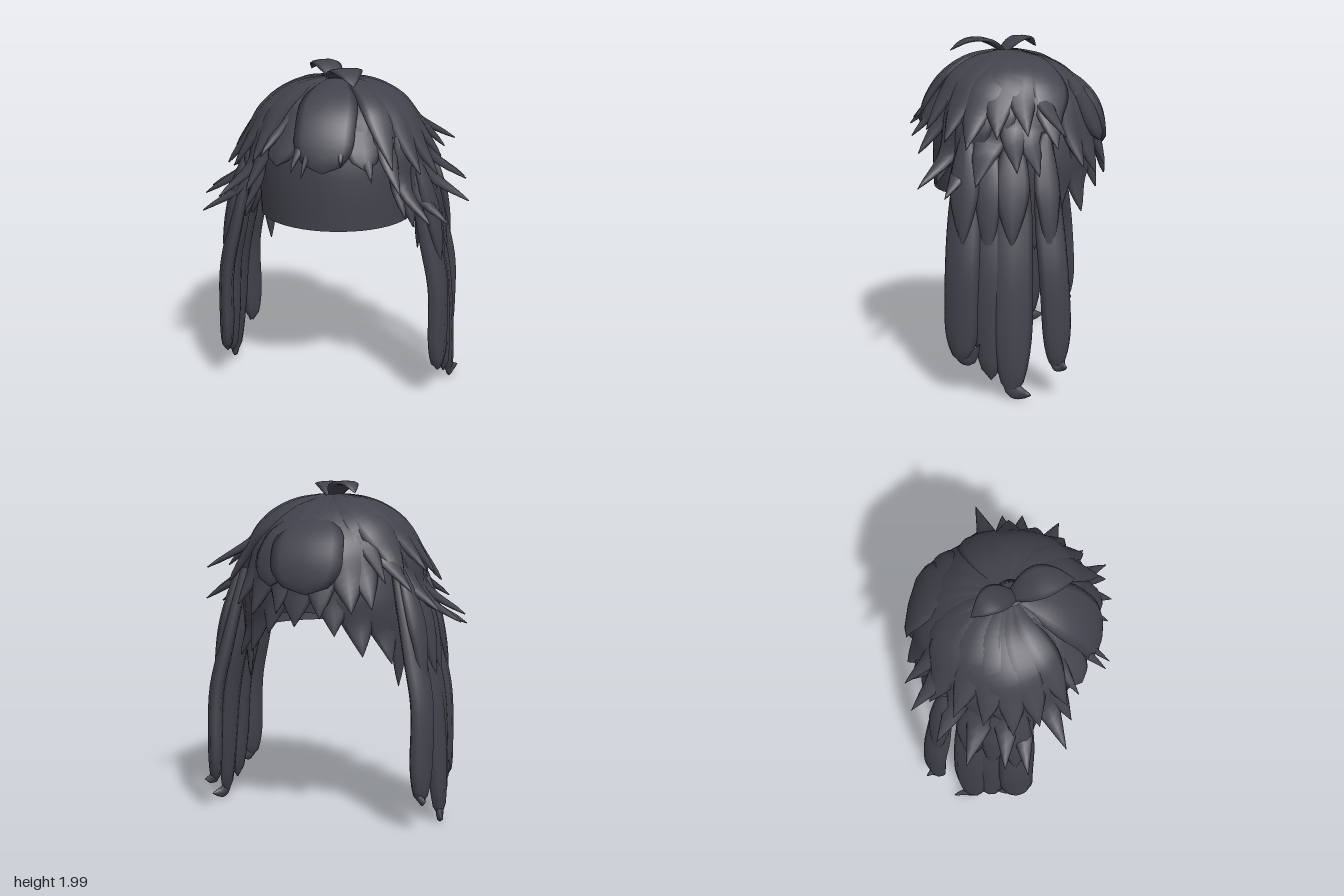
import * as THREE from 'three';

const hair = new THREE.MeshStandardMaterial({ color: 0x42424c, side: THREE.DoubleSide });
hair.name = 'charcoal hair';
const V = (x, y, z) => new THREE.Vector3(x, y, z);
const RAD = Math.PI / 180;

// Point on the head: azimuth 0 is the front, phi 0 the crown, below 90 it drops straight
function onHead(az, phi, lift = 0) {
  const a = az * RAD, p = Math.min(phi, 90) * RAD;
  const rz = Math.cos(a) > 0 ? 0.47 : 0.53;
  const y = phi > 90 ? 1.38 - (phi - 90) / 180 : 1.38 + (0.53 + lift * 0.4) * Math.cos(p);
  return V(Math.sin(a) * Math.sin(p) * (0.51 + lift), y, Math.cos(a) * Math.sin(p) * (rz + lift));
}

// Width along a lock: pointed like a blade, or blunt like a ribbon
const pointed = t => t < 0.5
  ? 0.35 + 0.65 * Math.sin(t * Math.PI)
  : 1 - Math.pow((t - 0.5) * 2, 1.6);
const blunt = t => (0.4 + 0.6 * Math.sin(Math.min(t / 0.5, 1) * Math.PI / 2))
  * (t < 0.75 ? 1 : Math.sqrt(Math.max(0, 1 - Math.pow((t - 0.75) * 4, 2))));

// Sweep a flat lens section along a path, its broad face turned away from the head
function lock(name, points, width, thick, profile = pointed, steps = 18) {
  const curve = new THREE.CatmullRomCurve3(points, false, 'centripetal');
  const pos = [], index = [], sides = 8;
  for (let i = 0; i <= steps; i++) {
    const t = i / steps, p = curve.getPoint(t), dir = curve.getTangent(t);
    const out = V(p.x, Math.max(p.y - 1.38, 0), p.z);
    const side = V(0, 0, 0).crossVectors(dir, out).normalize();
    const n = V(0, 0, 0).crossVectors(side, dir);
    const w = Math.max(profile(t), 0.01);
    for (let j = 0; j < sides; j++) {
      const a = j / sides * Math.PI * 2;
      const q = p.clone().addScaledVector(side, Math.cos(a) * w * width)
        .addScaledVector(n, Math.sin(a) * Math.sqrt(w) * thick);
      pos.push(q.x, q.y, q.z);
      if (i < steps) {
        const k = i * sides + j, m = i * sides + (j + 1) % sides;
        index.push(k, m, k + sides, m, m + sides, k + sides);
      }
    }
  }
  const g = new THREE.BufferGeometry();
  g.setAttribute('position', new THREE.Float32BufferAttribute(pos, 3));
  g.setIndex(index);
  g.computeVertexNormals();
  const mesh = new THREE.Mesh(g, hair);
  mesh.name = name;
  return mesh;
}

// Lock that runs from the crown over the head and ends at a given tip
function headLock(name, [x, y, z, width], lift, profile, start = 8) {
  const az = Math.atan2(x, z) / RAD;
  const rootY = y + 0.17;
  const phi = rootY > 1.38
    ? Math.acos(Math.min((rootY - 1.38) / 0.53, 1)) / RAD
    : Math.min(90 + (1.38 - rootY) * 180, 135);
  const sweep = 22 * Math.sin(az * RAD);
  const points = [0, 0.35, 0.7, 1].map(s =>
    onHead(az + sweep * (1 - s), start + (phi - start) * s, lift * (0.3 + 0.7 * Math.min(s * 1.6, 1))));
  points.push(V(x, y, z));
  return lock(name, points, width, 0.035, profile);
}

export function createModel() {
  const model = new THREE.Group();
  model.name = 'hair';

  // Scalp cap, open below, with the rim higher at the back
  const profile = [[0.455, 1.12], [0.46, 1.28], [0.46, 1.42], [0.44, 1.56], [0.385, 1.7],
    [0.29, 1.81], [0.16, 1.88], [0, 1.905]].map(p => new THREE.Vector2(...p));
  const capGeo = new THREE.LatheGeometry(profile, 48);
  const cp = capGeo.attributes.position;
  for (let i = 0; i < cp.count; i++) {
    const z = cp.getZ(i), y = cp.getY(i);
    cp.setZ(i, z * (z > 0 ? 0.95 : 1.06));
    if (y < 1.4 && z < 0) cp.setY(i, y + (1.42 - y) * 0.5 * Math.min(1, -z / 0.46));
  }
  capGeo.computeVertexNormals();
  const cap = new THREE.Mesh(capGeo, hair);
  cap.name = 'scalpCap';
  model.add(cap);

  // Fringe over the forehead
  const fringe = [[0.02, 1.48, 0.51, 0.17], [0.26, 1.5, 0.47, 0.12], [-0.25, 1.5, 0.47, 0.13]];
  fringe.forEach((f, i) => model.add(headLock('fringeLock', f, i ? 0.0 : 0.045, blunt)));
  [[-0.14, 1.5, 0.58, 0.07], [-0.08, 1.47, 0.59, 0.05], [0.3, 1.45, 0.52, 0.09], [0.13, 1.53, 0.53, 0.08],
    [-0.34, 1.55, 0.47, 0.09]].forEach(f => model.add(headLock('fringeTip', f, 0.01)));

  // Outer spikes: tip position and half width
  const spikes = [
    [0.62, 1.2, 0.44, 0.1], [0.7, 1.16, 0.28, 0.12], [0.8, 1.25, 0.1, 0.13], [0.76, 1.32, -0.12, 0.12],
    [0.74, 1.3, -0.24, 0.12], [0.66, 1.5, -0.38, 0.1], [0.45, 1.37, 0.46, 0.1],
    [-0.59, 1.3, 0.47, 0.11], [-0.75, 1.15, 0.29, 0.12], [-0.77, 1.22, 0.16, 0.12], [-0.8, 1.2, -0.06, 0.13],
    [-0.72, 1.28, -0.25, 0.12], [-0.61, 1.4, -0.42, 0.11], [-0.48, 1.45, -0.49, 0.09], [-0.43, 1.34, 0.46, 0.09]];
  spikes.forEach(s => model.add(headLock('outerSpike', s, 0.035)));

  // Shorter locks between the spikes
  for (const s of [-1, 1]) {
    for (const [x, y, z, w] of [[0.54, 1.45, 0.3, 0.12], [0.62, 1.42, 0.17, 0.12], [0.62, 1.48, 0.0, 0.13],
      [0.62, 1.5, -0.17, 0.13], [0.54, 1.42, -0.33, 0.13], [0.4, 1.5, 0.42, 0.11]]) {
      model.add(headLock('upperLock', [s * x, y, z, w], 0.05));
    }
  }

  // Under layer at the sides and nape
  for (const s of [-1, 1]) {
    for (const [x, y, z, w] of [[0.5, 1.12, 0.25, 0.1], [0.56, 1.05, 0.1, 0.13], [0.56, 1.02, -0.06, 0.13],
      [0.47, 0.83, -0.2, 0.14], [0.47, 0.98, -0.33, 0.13], [0.34, 1.03, -0.46, 0.13],
      [0.2, 1.15, -0.54, 0.14], [0.47, 1.2, 0.36, 0.07]]) {
      model.add(headLock('underLock', [s * x, y, z, w], 0));
    }
  }

  // Back of the head: broad locks and a rounded bulge over them
  [[0.02, 1.2, -0.59, 0.15], [0.13, 1.27, -0.59, 0.12], [-0.13, 1.25, -0.59, 0.13], [0.3, 1.25, -0.54, 0.14],
    [-0.3, 1.28, -0.54, 0.14], [0.42, 1.3, -0.47, 0.12], [-0.4, 1.3, -0.48, 0.12]]
    .forEach(b => model.add(headLock('backLock', b, 0.02)));
  model.add(headLock('backBulge', [-0.04, 1.38, -0.58, 0.21], 0.05, blunt, 38));
  model.add(headLock('backBulge', [0.18, 1.42, -0.56, 0.15], 0.04, blunt, 38));

  // Long hanging locks: top z, bottom z, bottom y, bottom x, half width
  const longLocks = [[0.18, 0.2, 0.21, 0.66, 0.105], [0.06, 0.03, 0.12, 0.68, 0.1],
    [-0.08, -0.09, 0.03, 0.7, 0.115], [-0.26, -0.34, 0.18, 0.65, 0.09]];
  for (const s of [-1, 1]) {
    longLocks.forEach(([z0, z1, y1, x1, w], i) => {
      const at = (x, t, y) => V(s * x, y, z0 + (z1 - z0) * t);
      model.add(lock('longLock', [at(0.47, 0, 1.5), at(0.53, 0.1, 1.28), at(0.59, 0.35, 1.02),
        at(0.645, 0.7, 0.75), at((0.65 + x1) / 2, 0.95, 0.42), at(x1, 1, y1)], w, 0.045, blunt, 24));
      // Curled tip
      if (i !== 1) {
        const d = i === 3 ? 0.5 : 1;
        model.add(lock('longLockTip', [V(s * x1, y1 + 0.14, z1 + 0.04), V(s * x1, y1 + 0.045, z1),
          V(s * (x1 + 0.01), y1 + 0.03, z1 - 0.05 * d), V(s * (x1 + 0.045), y1 + (i ? 0.03 : 0.13), z1 - 0.11 * d)],
        0.045, 0.02, pointed, 10));
      }
      // Upper blade lying over each long lock
      model.add(lock('overLock', [at(0.5, 0, 1.5), at(0.57, 0.1, 1.3), at(0.62, 0.3, 1.1),
        at(0.66, 0.5, 0.88 - (i % 2) * 0.12)], w * 0.85, 0.03));
    });
  }

  // Two curling tufts on the crown
  model.add(lock('crownTuft', [V(0, 1.9, 0.0), V(0.03, 1.955, 0.06), V(0.075, 1.99, 0.14), V(0.12, 1.98, 0.23),
    V(0.16, 1.93, 0.31)], 0.1, 0.014));
  model.add(lock('crownTuft', [V(0.01, 1.9, 0.02), V(-0.03, 1.955, -0.02), V(-0.08, 1.99, -0.07),
    V(-0.14, 1.985, -0.12), V(-0.19, 1.935, -0.17)], 0.085, 0.014));

  return model;
}
